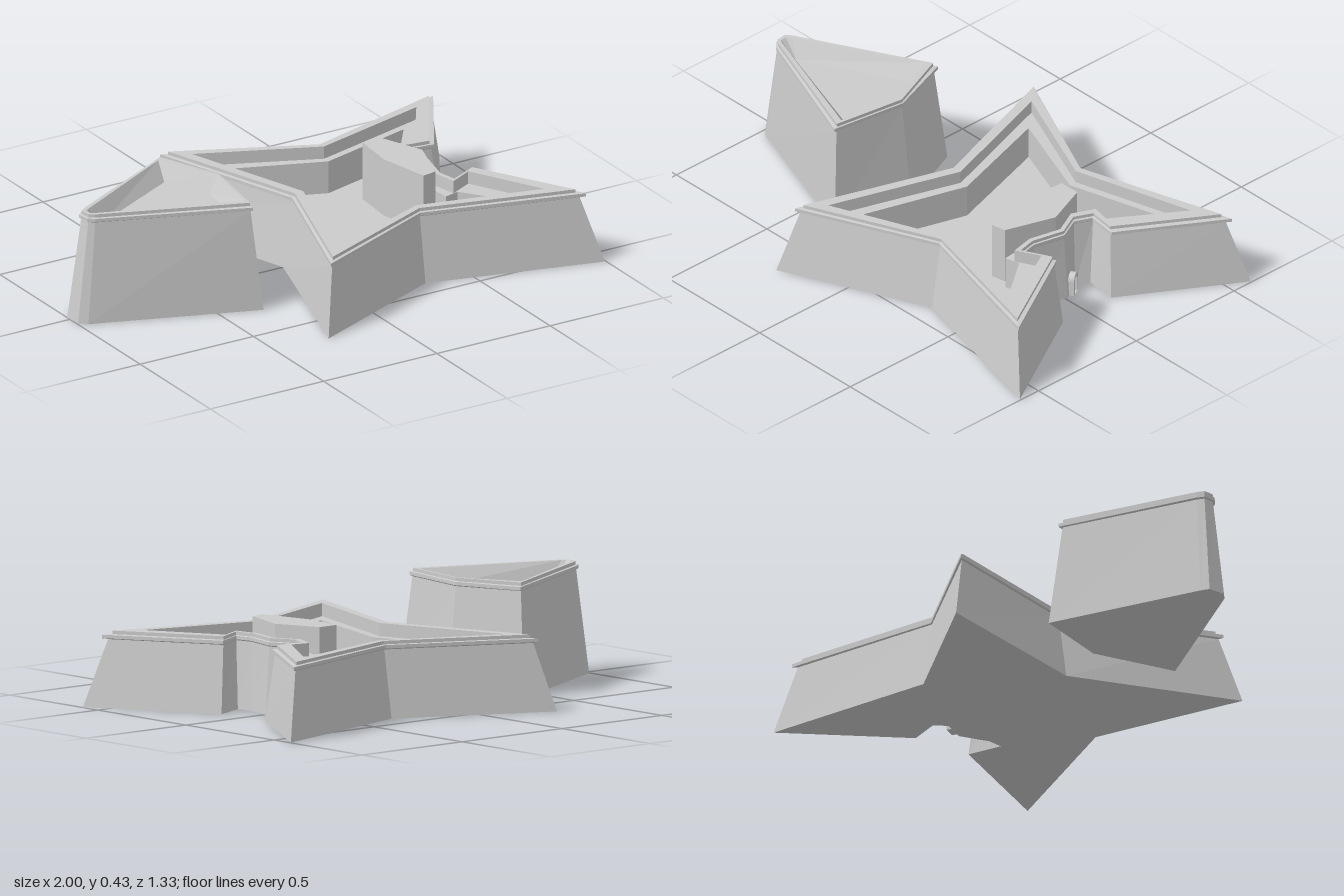
import * as THREE from 'three';

const material = new THREE.MeshStandardMaterial({ color: 0xcccccc, flatShading: true, side: THREE.DoubleSide });

// Blend two outlines that share the same corner order
const mix = (a, b, t) => a.map(([x, z], i) => [x + (b[i][0] - x) * t, z + (b[i][1] - z) * t]);

// Skin a stack of [outline, height] rings, with a flat cap on each end
function loft(name, rings) {
  const pos = [];
  const at = ([outline, y], i) => {
    const p = outline[i % outline.length];
    return [p[0], y, p[1]];
  };
  for (let r = 0; r < rings.length - 1; r++) {
    for (let i = 0; i < rings[r][0].length; i++) {
      const a = at(rings[r], i), b = at(rings[r], i + 1);
      const c = at(rings[r + 1], i), d = at(rings[r + 1], i + 1);
      pos.push(...a, ...c, ...b, ...b, ...c, ...d);
    }
  }
  const cap = (ring, up) => {
    const contour = ring[0].map(([x, z]) => new THREE.Vector2(x, z));
    for (const [i, j, k] of THREE.ShapeUtils.triangulateShape(contour, [])) {
      const a = at(ring, i), b = at(ring, j), c = at(ring, k);
      const ny = (b[2] - a[2]) * (c[0] - a[0]) - (b[0] - a[0]) * (c[2] - a[2]);
      pos.push(...a, ...((ny > 0) === up ? [...b, ...c] : [...c, ...b]));
    }
  };
  cap(rings[0], false);
  cap(rings[rings.length - 1], true);
  const g = new THREE.BufferGeometry();
  g.setAttribute('position', new THREE.Float32BufferAttribute(pos, 3));
  g.computeVertexNormals();
  const mesh = new THREE.Mesh(g, material);
  mesh.name = name;
  return mesh;
}

// Star-shaped fort: sloped wall, projecting rim, parapet, walkway, sunken yard
function starFort() {
  const base = [
    [-0.27, -0.665], [0.315, -0.39], [0.995, -0.59], [0.72, -0.13], [0.59, -0.145], [0.56, -0.095], [0.61, -0.01],
    [0.58, 0.11], [0.59, 0.17], [0.72, 0.115], [0.995, 0.59], [0.315, 0.41], [-0.27, 0.665], [-0.06, 0]];
  const rim = [
    [-0.225, -0.61], [0.315, -0.355], [0.94, -0.545], [0.70, -0.15], [0.58, -0.165], [0.55, -0.1], [0.595, -0.01],
    [0.565, 0.12], [0.58, 0.19], [0.70, 0.13], [0.94, 0.545], [0.315, 0.375], [-0.225, 0.61], [-0.02, 0]];
  const parapet = [
    [-0.14, -0.52], [0.32, -0.32], [0.81, -0.455], [0.635, -0.185], [0.56, -0.2], [0.52, -0.11], [0.57, -0.01],
    [0.54, 0.12], [0.56, 0.215], [0.655, 0.165], [0.81, 0.455], [0.32, 0.335], [-0.14, 0.52], [0.03, 0]];
  const yard = [
    [-0.07, -0.44], [0.32, -0.29], [0.72, -0.4], [0.59, -0.22], [0.525, -0.21], [0.5, -0.11], [0.54, -0.01],
    [0.51, 0.12], [0.52, 0.225], [0.58, 0.21], [0.715, 0.39], [0.32, 0.3], [-0.07, 0.445], [0.065, 0]];
  return loft('starFort', [
    [base, 0], [mix(rim, parapet, 0.15), 0.258], [rim, 0.262], [rim, 0.275],
    [mix(rim, parapet, 0.25), 0.277], [mix(rim, parapet, 0.25), 0.29],
    [parapet, 0.29], [parapet, 0.24], [yard, 0.24], [yard, 0.11]]);
}

// Detached wedge-shaped outwork with a blunted tip and hollow top
function outwork() {
  const base = [[-1, -0.02], [-0.97, -0.04], [-0.4, -0.33], [-0.28, -0.035], [-0.335, 0.305], [-0.965, 0.075], [-0.995, 0.05]];
  const rim = [[-0.955, -0.01], [-0.93, -0.03], [-0.415, -0.295], [-0.32, -0.03], [-0.365, 0.28], [-0.925, 0.06], [-0.948, 0.04]];
  const inner = [[-0.93, 0.005], [-0.91, -0.01], [-0.45, -0.26], [-0.335, -0.025], [-0.375, 0.235], [-0.915, 0.04], [-0.93, 0.03]];
  const floor = [[-0.87, 0.01], [-0.85, 0], [-0.46, -0.2], [-0.37, -0.02], [-0.405, 0.175], [-0.85, 0.03], [-0.87, 0.02]];
  return loft('outwork', [
    [base, 0], [mix(rim, inner, 0.3), 0.398], [rim, 0.402], [rim, 0.415],
    [mix(rim, inner, 0.35), 0.417], [mix(rim, inner, 0.35), 0.43], [inner, 0.43], [floor, 0.365]]);
}

// Six-sided keep standing in the yard behind the gate wall
function keep() {
  const plan = [[0.4, -0.175], [0.485, -0.175], [0.555, 0], [0.49, 0.2], [0.43, 0.21], [0.385, 0]];
  return loft('keep', [[plan, 0.1], [plan, 0.34]]);
}

// Arched gate frame set on one face of the recessed wall
function gate() {
  const arch = (w, h) => (path) => {
    path.moveTo(-w, 0);
    path.lineTo(w, 0);
    path.lineTo(w, h - w);
    path.absarc(0, h - w, w, 0, Math.PI, false);
    path.lineTo(-w, 0);
    return path;
  };
  const shape = arch(0.026, 0.088)(new THREE.Shape());
  shape.holes.push(arch(0.016, 0.074)(new THREE.Path()));
  const frame = new THREE.Mesh(
    new THREE.ExtrudeGeometry(shape, { depth: 0.035, bevelEnabled: false, curveSegments: 4 }), material);
  frame.name = 'gateFrame';
  const door = new THREE.Mesh(
    new THREE.ExtrudeGeometry(arch(0.018, 0.076)(new THREE.Shape()), { depth: 0.02, bevelEnabled: false, curveSegments: 4 }), material);
  door.name = 'gateDoor';
  const group = new THREE.Group();
  group.name = 'gate';
  group.add(frame, door);
  group.position.set(0.575, 0, -0.04);
  group.rotation.y = Math.atan2(0.86, -0.5);
  return group;
}

export function createModel() {
  const model = new THREE.Group();
  model.name = 'starFortress';
  model.add(starFort(), outwork(), keep(), gate());
  return model;
}
